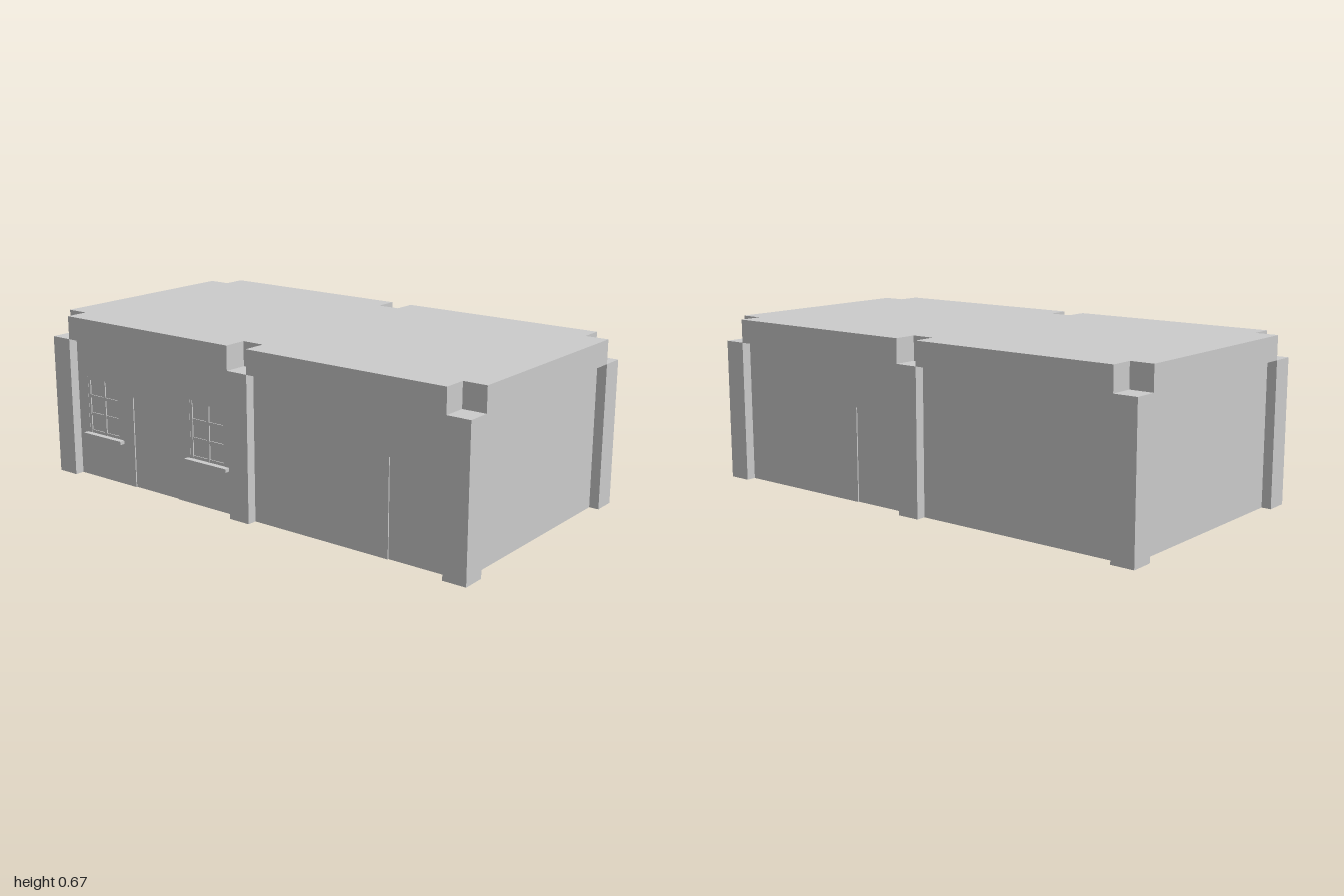
import * as THREE from 'three';

const W = 0.523, L = 1, P = 0.094;      // half width, half length, post size
const POST_H = 0.575, H = 0.67;         // post height, roof top
const T = 0.016;                        // wall thickness
const DOOR_H = 0.375, WIN_Y0 = 0.185, WIN_Y1 = 0.42;
const mat = new THREE.MeshStandardMaterial({ color: 0xcccccc, flatShading: true });

function add(parent, name, geo, x = 0, y = 0, z = 0) {
  const m = new THREE.Mesh(geo, mat);
  m.name = name;
  m.position.set(x, y, z);
  parent.add(m);
  return m;
}

// Box given by its min and max corners
function box(parent, name, x0, x1, y0, y1, z0, z1) {
  return add(parent, name, new THREE.BoxGeometry(x1 - x0, y1 - y0, z1 - z0),
    (x0 + x1) / 2, (y0 + y1) / 2, (z0 + z1) / 2);
}

// Wall panel in its own frame: u along the wall, +z outward
function wall(parent, name, u0, u1, doors = [], windows = []) {
  const g = new THREE.Group();
  g.name = name;
  const s = new THREE.Shape();
  s.moveTo(u0, 0);
  for (const [a, b] of doors) {
    s.lineTo(a, 0); s.lineTo(a, DOOR_H); s.lineTo(b, DOOR_H); s.lineTo(b, 0);
  }
  s.lineTo(u1, 0); s.lineTo(u1, POST_H); s.lineTo(u0, POST_H); s.closePath();
  for (const [a, b] of windows) {
    const h = new THREE.Path();
    h.moveTo(a, WIN_Y0); h.lineTo(a, WIN_Y1); h.lineTo(b, WIN_Y1); h.lineTo(b, WIN_Y0);
    h.closePath();
    s.holes.push(h);
  }
  const geo = new THREE.ExtrudeGeometry(s, { depth: T, bevelEnabled: false });
  add(g, 'wallPanel', geo, 0, 0, -T / 2);

  for (const [a, b] of doors) box(g, 'door', a, b, 0, DOOR_H, -0.003, 0.003);
  for (const [a, b] of windows) {
    const f = 0.012, mid = (a + b) / 2;
    box(g, 'windowPane', a, b, WIN_Y0, WIN_Y1, -0.002, 0.002);
    // frame and glazing bars
    for (const u of [a + f / 2, mid, b - f / 2])
      box(g, 'windowUpright', u - f / 2, u + f / 2, WIN_Y0, WIN_Y1, -0.007, 0.007);
    for (let i = 0; i < 4; i++) {
      const y = WIN_Y0 + f / 2 + (WIN_Y1 - WIN_Y0 - f) * i / 3;
      box(g, 'windowCrossbar', a, b, y - f / 2, y + f / 2, -0.006, 0.006);
    }
    box(g, 'windowSill', a - 0.015, b + 0.015, WIN_Y0 - 0.014, WIN_Y0, 0, 0.03);
  }
  parent.add(g);
  return g;
}

export function createModel() {
  const model = new THREE.Group();
  model.name = 'building';
  const wx = W - P / 2, wz = L - P / 2;   // wall centre planes
  const ix = W - P, iz = L - P;           // inner faces of the beams

  // Posts
  for (const sx of [-1, 1]) for (const z of [-wz, 0, wz])
    add(model, 'post', new THREE.BoxGeometry(P, POST_H, P), sx * wx, POST_H / 2, z);

  // Beams carrying the roof, cut out above each post
  for (const s of [-1, 1]) {
    add(model, 'endBeam', new THREE.BoxGeometry(2 * ix, H - POST_H, P), 0, (H + POST_H) / 2, s * wz);
    for (const t of [-1, 1])
      add(model, 'sideBeam', new THREE.BoxGeometry(P, H - POST_H, iz - P / 2),
        s * wx, (H + POST_H) / 2, t * (iz + P / 2) / 2);
    add(model, 'notchBack', new THREE.BoxGeometry(0.008, H - POST_H, P),
      s * (ix - 0.004), (H + POST_H) / 2, 0);
  }

  // Roof slab between the beams
  box(model, 'roof', -ix, ix, H - 0.008, H, -iz, iz);

  // Plain end walls
  wall(model, 'frontWall', -ix, ix).position.z = wz;
  const back = wall(model, 'backWall', -ix, ix);
  back.rotation.y = Math.PI;
  back.position.z = -wz;

  // Left side (+x): u runs along -z
  const left = [
    wall(model, 'leftFrontWall', -iz, -P / 2, [[-0.30, -0.065]]),
    wall(model, 'leftBackWall', P / 2, iz),
  ];
  for (const g of left) { g.rotation.y = Math.PI / 2; g.position.x = wx; }

  // Right side (-x): u runs along +z
  const right = [
    wall(model, 'rightBackWall', -iz, -P / 2, [[-0.59, -0.355]], [[-0.85, -0.665], [-0.28, -0.095]]),
    wall(model, 'rightFrontWall', P / 2, iz, [[0.655, 0.89]]),
  ];
  for (const g of right) { g.rotation.y = -Math.PI / 2; g.position.x = -wx; }

  return model;
}
